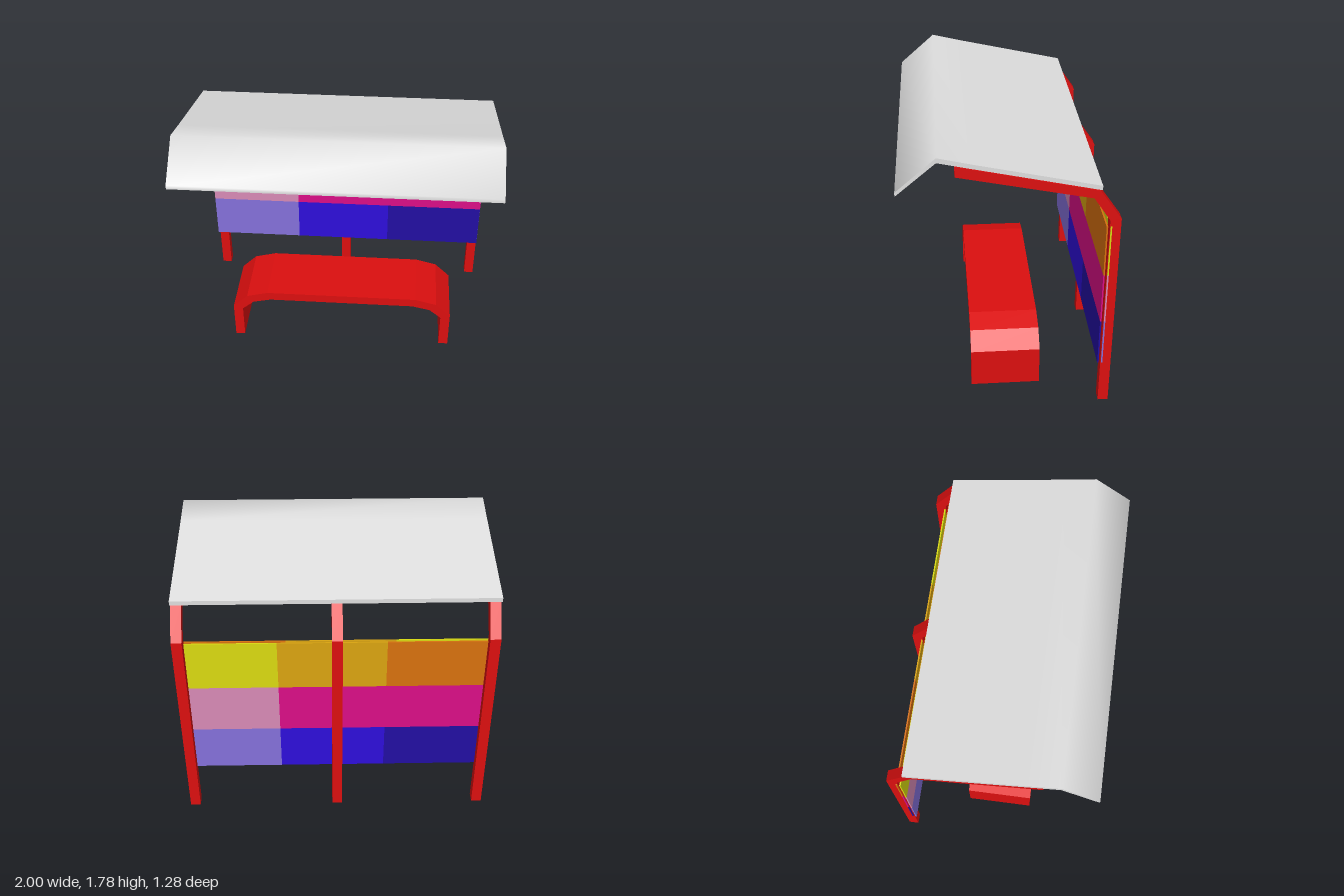
import * as THREE from 'three';
import { toCreasedNormals } from 'three/addons/utils/BufferGeometryUtils.js';

const paint = (name, color) => {
  const m = new THREE.MeshStandardMaterial({ color });
  m.name = name;
  return m;
};

// Extrudes a closed outline by depth, centred on its own plane
function prism(points, depth) {
  const shape = new THREE.Shape(points.map(([a, b]) => new THREE.Vector2(a, b)));
  const geo = new THREE.ExtrudeGeometry(shape, { depth, bevelEnabled: false });
  return geo.translate(0, 0, -depth / 2);
}

// Same, for an outline given as [z, y] and extruded along x
const sideProfile = (points, width) => prism(points, width).rotateY(-Math.PI / 2);

export function createModel() {
  const model = new THREE.Group();
  model.name = 'busShelter';

  const red = paint('red', 0xdb0f0f);
  const grey = paint('lightGrey', 0xdedede);
  const yellow = paint('yellow', 0xdada10);
  const gold = paint('gold', 0xdaa410);
  const orange = paint('orange', 0xd8710e);
  const pink = paint('pink', 0xd88ab6);
  const magenta = paint('magenta', 0xda0e86);
  const lavender = paint('lavender', 0x8470da);
  const blue = paint('blue', 0x2e0eda);
  const navy = paint('navy', 0x220ea2);

  const add = (name, geo, mat, parent = model) => {
    const mesh = new THREE.Mesh(geo, mat);
    mesh.name = name;
    parent.add(mesh);
    return mesh;
  };

  // Roof: folded sheet, softly shaded over the ridge
  const roof = sideProfile([
    [0.64, 1.555], [0.64, 1.58], [0.405, 1.785], [0.2, 1.737], [-0.52, 1.58],
    [-0.52, 1.552], [0.2, 1.709], [0.405, 1.755],
  ], 1.995);
  add('roof', toCreasedNormals(roof, 1.0), grey);

  // Posts bending forward into roof arms
  const post = sideProfile([
    [-0.64, 0.01], [-0.64, 1.36], [-0.51, 1.547], [0.307, 1.727],
    [0.307, 1.662], [-0.476, 1.5], [-0.575, 1.35], [-0.575, 0.01],
  ], 0.066);
  for (const [name, x] of [['rightPost', -0.957], ['middlePost', -0.004], ['leftPost', 0.962]]) {
    add(name, post, red).position.x = x;
  }

  // Bench: one bent slab, right half mirrored to the left
  const outer = [[0.767, 0], [0.767, 0.266], [0.665, 0.365], [0.52, 0.403]];
  const inner = [[0.5, 0.342], [0.622, 0.314], [0.702, 0.246], [0.702, 0]];
  const flip = (pts) => pts.map(([x, y]) => [-x, y]).reverse();
  const bench = prism([...outer, ...flip(outer), ...flip(inner), ...inner], 0.445);
  add('bench', bench, red).position.set(0.013, 0, 0.004);

  // Back wall: coloured tiles on two thin sheets, the rear one turned around
  const tiles = [
    // material, left, right, bottom, top
    [yellow, -1, -0.365, 0.975, 1.312],
    [gold, -0.365, 0.312, 0.975, 1.312],
    [orange, 0.312, 0.997, 0.975, 1.312],
    [pink, -1, -0.365, 0.637, 0.975],
    [magenta, -0.365, 0.997, 0.637, 0.975],
    [lavender, -1, -0.365, 0.317, 0.637],
    [blue, -0.365, 0.312, 0.317, 0.637],
    [navy, 0.312, 0.997, 0.317, 0.637],
  ];
  for (const [name, z, turn] of [['frontPanel', -0.56, 0], ['rearPanel', -0.583, Math.PI]]) {
    const panel = new THREE.Group();
    panel.name = name;
    panel.position.z = z;
    panel.rotation.y = turn;
    for (const [mat, x0, x1, y0, y1] of tiles) {
      const tile = add(mat.name + 'Tile', new THREE.BoxGeometry(x1 - x0, y1 - y0, 0.009), mat, panel);
      tile.position.set((x0 + x1) / 2, (y0 + y1) / 2, 0);
    }
    model.add(panel);
  }

  return model;
}
